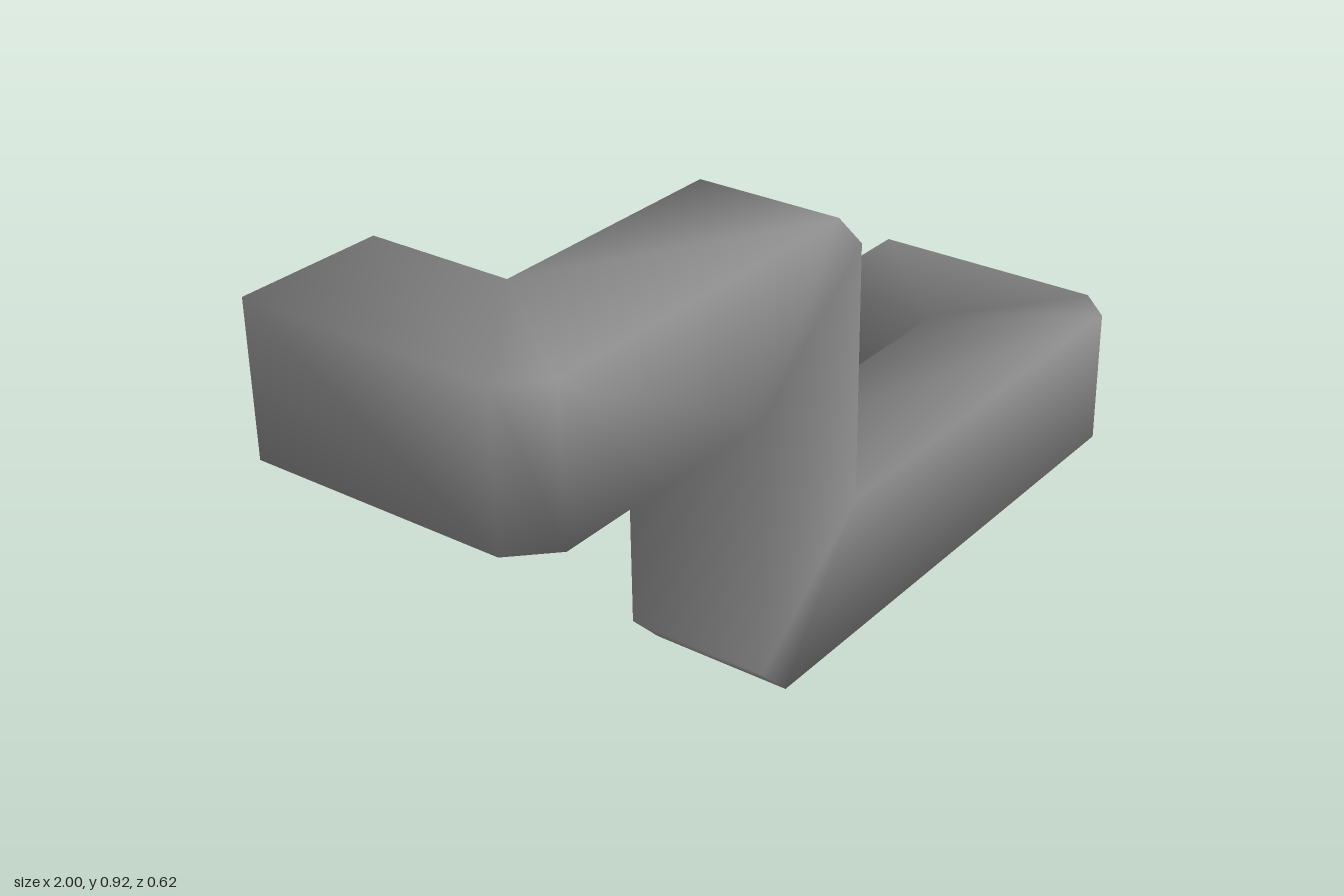
import * as THREE from 'three';
import { mergeVertices } from 'three/addons/utils/BufferGeometryUtils.js';

const HALF = 2 / 13; // half the thickness of the square bar
const CUT = 1 / 13;  // bevel on the outside of each bend

// Sweeps a square section along right-angled path points, bevelling the outer corners
function squareBar(points) {
  const dirs = points.slice(1).map((p, i) => p.clone().sub(points[i]).normalize());
  const signs = [[-1, -1], [1, -1], [1, 1], [-1, 1]];
  let u = new THREE.Vector3(1, 0, 0), v = new THREE.Vector3(0, 1, 0);
  const rings = [];
  const offsets = () => signs.map(([a, b]) =>
    u.clone().multiplyScalar(a * HALF).addScaledVector(v, b * HALF));
  const endRing = (p) => rings.push(offsets().map((o) => o.add(p)));

  endRing(points[0]);
  for (let i = 1; i < points.length - 1; i++) {
    const d1 = dirs[i - 1], d2 = dirs[i];
    const before = [], after = [];
    for (const o of offsets()) {
      // mitred corner, inner side towards the next direction
      const side = o.dot(d2);
      const p = o.add(points[i]).addScaledVector(d1, -side);
      const cut = side < 0 ? CUT : 0;
      before.push(p.clone().addScaledVector(d1, -cut));
      after.push(p.clone().addScaledVector(d2, cut));
    }
    rings.push(before, after);
    const turn = new THREE.Quaternion().setFromUnitVectors(d1, d2);
    u = u.clone().applyQuaternion(turn).round();
    v = v.clone().applyQuaternion(turn).round();
  }
  endRing(points[points.length - 1]);

  const index = [0, 3, 2, 0, 2, 1]; // first end cap
  for (let r = 0; r < rings.length - 1; r++) {
    for (let j = 0; j < 4; j++) {
      const a = r * 4 + j, b = r * 4 + (j + 1) % 4;
      index.push(a, b, b + 4, a, b + 4, a + 4);
    }
  }
  const e = (rings.length - 1) * 4;
  index.push(e, e + 1, e + 2, e, e + 2, e + 3); // last end cap

  let geometry = new THREE.BufferGeometry().setFromPoints(rings.flat());
  geometry.setIndex(index);
  geometry = mergeVertices(geometry, 1e-4);
  // drop the collapsed triangles on the inside of each bend
  const old = geometry.index.array, kept = [];
  for (let i = 0; i < old.length; i += 3) {
    const [a, b, c] = [old[i], old[i + 1], old[i + 2]];
    if (a !== b && b !== c && c !== a) kept.push(a, b, c);
  }
  geometry.setIndex(kept);
  geometry.computeVertexNormals();
  return geometry;
}

export function createModel() {
  const group = new THREE.Group();
  group.name = 'bentBar';
  const grey = new THREE.MeshStandardMaterial({ color: 0x888888 });
  grey.name = 'grey';

  // centre line: rear arm, upper bar, drop, lower bar, rear arm
  const end = 10 / 13 + HALF / 2; // x of the two arms
  const drop = -3 * CUT;          // x of the upright
  const low = HALF, high = 5 * HALF, front = HALF, back = -2 * HALF;
  const path = [
    [-end, high, back], [-end, high, front], [drop, high, front],
    [drop, low, front], [end, low, front], [end, low, back],
  ].map((p) => new THREE.Vector3(...p));

  const bar = new THREE.Mesh(squareBar(path), grey);
  bar.name = 'squareBar';
  group.add(bar);
  return group;
}
